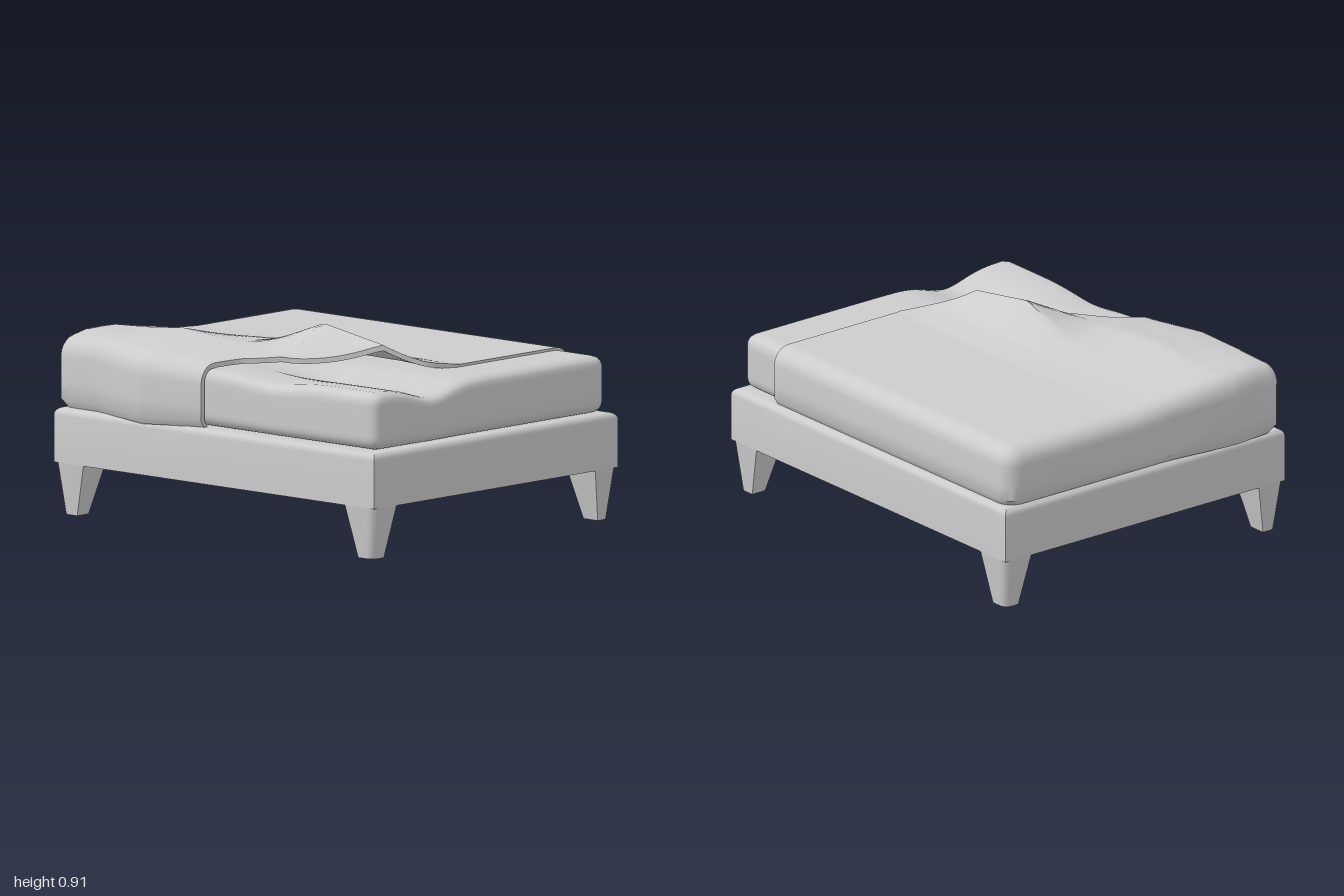
import * as THREE from 'three';
import { mergeVertices, toCreasedNormals } from 'three/addons/utils/BufferGeometryUtils.js';

const { clamp, lerp } = THREE.MathUtils;
const tent = (v, c, w) => Math.max(0, 1 - Math.abs(v - c) / w);
const bell = (v, c, w) => Math.exp(-(((v - c) / w) ** 2));

// piecewise linear lookup of values ys at positions xs
function lookup(xs, ys, v) {
  if (v <= xs[0]) return ys[0];
  for (let i = 1; i < xs.length; i++) {
    if (v <= xs[i]) return lerp(ys[i - 1], ys[i], (v - xs[i - 1]) / (xs[i] - xs[i - 1]));
  }
  return ys[ys.length - 1];
}

function indexed(points, index, crease) {
  const geo = new THREE.BufferGeometry();
  geo.setAttribute('position', new THREE.Float32BufferAttribute(points.flat(), 3));
  geo.setIndex(index);
  return toCreasedNormals(geo, crease);
}

// closed solid through horizontal rings, listed from bottom to top
function loft(rings) {
  const n = rings[0].length;
  const points = rings.flat();
  const index = [];
  for (let r = 0; r < rings.length - 1; r++) {
    for (let k = 0; k < n; k++) {
      const a = r * n + k, b = r * n + (k + 1) % n;
      index.push(a, a + n, b, b, a + n, b + n);
    }
  }
  const top = (rings.length - 1) * n;
  for (let k = 1; k < n - 1; k++) {
    index.push(0, k, k + 1, top, top + k + 1, top + k);
  }
  return indexed(points, index, 0.6);
}

// frame: square corners, rounded upper edge
const F = { x0: -0.955, x1: 1, z0: -0.825, z1: 0.785, y0: 0.235, y1: 0.485 };
function frameGeometry() {
  const ring = (d, y) => [
    [F.x0 + d, y, F.z0 + d], [F.x1 - d, y, F.z0 + d],
    [F.x1 - d, y, F.z1 - d], [F.x0 + d, y, F.z1 - d]];
  const rings = [ring(0, F.y0)];
  const r = 0.035;
  for (let i = 0; i <= 5; i++) {
    const a = i / 5 * Math.PI / 2;
    rings.push(ring(r * (1 - Math.cos(a)), F.y1 - r + r * Math.sin(a)));
  }
  return loft(rings);
}

// tapered leg with a rounded outer corner; sx, sz choose the corner
function legGeometry(sx, sz) {
  const cx = sx > 0 ? F.x1 : F.x0, cz = sz > 0 ? F.z1 : F.z0;
  const ring = (y, ox, ix, oz, iz, r) => {
    const p = [[ix, iz], [ox, iz]];
    for (let i = 0; i <= 4; i++) {
      const a = i / 4 * Math.PI / 2;
      p.push([ox + r * (1 - Math.cos(a)), oz + r * (1 - Math.sin(a))]);
    }
    p.push([ix, oz]);
    const out = p.map(([x, z]) => [cx - sx * x, y, cz - sz * z]);
    return sx * sz > 0 ? out : out.reverse();
  };
  return loft([ring(0, 0.033, 0.12, 0.025, 0.1, 0.035), ring(0.237, 0.001, 0.18, 0.001, 0.15, 0.04)]);
}

// mattress: rounded block with a hollow sat into its right side
function mattressGeometry() {
  const size = [1.905, 0.26, 1.525], r = 0.055;
  const box = new THREE.BoxGeometry(...size, 64, 16, 56);
  box.deleteAttribute('normal');
  box.deleteAttribute('uv');
  const geo = mergeVertices(box);
  const pos = geo.attributes.position;
  const half = new THREE.Vector3(...size).multiplyScalar(0.5).subScalar(r);
  const p = new THREE.Vector3(), core = new THREE.Vector3();
  for (let i = 0; i < pos.count; i++) {
    p.fromBufferAttribute(pos, i);
    core.copy(p).clamp(half.clone().negate(), half);
    p.sub(core).setLength(r).add(core);
    p.add(new THREE.Vector3(0.0175, 0.615, -0.0225));
    const w = clamp((p.y - 0.485) / 0.26, 0, 1);
    const hollow = 0.055 * bell(p.z, 0.36, 0.15) * clamp((p.x + 0.1) / 0.4, 0, 1);
    const sag = 0.025 * bell(p.x, 0.32, 0.18) * clamp((p.z - 0.5) / 0.2, 0, 1);
    pos.setXYZ(i, p.x, p.y - w * (hollow + sag), p.z);
  }
  geo.computeVertexNormals();
  return geo;
}

// blanket folds: heights above the flat cover at crossings of foldX and foldZ
const foldX = [-0.96, -0.7, -0.5, -0.13, 0.14, 0.5, 0.71];
const foldZ = [-0.1, 0.05, 0.19, 0.42, 0.6, 0.77];
const folds = [
  [0, 0, 0, 0, 0, 0, 0],
  [0.01, 0.01, 0.015, 0.02, 0.035, 0.03, 0.015],
  [0.03, 0.03, 0.04, 0.06, 0.16, 0.1, 0.04],
  [0.06, 0.075, 0.095, 0.065, 0.04, -0.1, -0.1],
  [0.065, 0.07, 0.07, 0.04, 0, 0, 0],
  [0.04, 0.05, 0.03, 0.005, 0, 0, 0]];
const foldHeight = (x, z) => lookup(foldZ, folds.map(row => lookup(foldX, row, x)), z);

// x of the turned-back edge for each z
const edgeX = z => lookup([-0.08, 0.05, 0.19, 0.32, 0.45, 0.58, 0.72],
  [0.71, 0.65, 0.5, 0.32, 0.13, -0.01, -0.07], z);

// blanket cross-section from back hem over the top to front hem, inset by d
function blanketProfile(d, r) {
  const y0 = 0.485, y1 = 0.757 - d, zb = -0.81 + d, zf = 0.77 - d, out = [];
  const arc = i => i / 6 * Math.PI / 2;
  out.push([zb + 0.02, y0], [zb, y0 + 0.03], [zb, 0.58]);
  for (let i = 0; i <= 6; i++) out.push([zb + r * (1 - Math.cos(arc(i))), y1 - r + r * Math.sin(arc(i))]);
  for (let i = 1; i < 48; i++) out.push([lerp(zb + r, zf - r, i / 48), y1]);
  for (let i = 6; i >= 0; i--) out.push([zf - r * (1 - Math.cos(arc(i))), y1 - r + r * Math.sin(arc(i))]);
  out.push([zf, 0.58], [zf, y0 + 0.03], [zf - 0.02, y0]);
  return out;
}

function drape(x, y, z) {
  const w = clamp((y - 0.485) / 0.26, 0, 1);
  const front = clamp((z - 0.55) / 0.2, 0, 1), side = clamp((-0.6 - x) / 0.3, 0, 1);
  const swell = tent(x, -0.4, 0.32);
  return [
    x - 0.038 * side * tent(z, 0.48, 0.34) + side * Math.max(0, 0.51 - y),
    y + w * foldHeight(x, z) - (1 - w) * 0.014 * front * swell,
    z + 0.05 * front * swell];
}

// one skin of the blanket, row by row from the closed side to the open edge
function blanketRows(th) {
  const xl = -0.962, r = 0.08 - th, rows = [];
  const addRow = (d, s, xAt) => rows.push(blanketProfile(th + d, r - d)
    .map(([z, y]) => drape(xAt(z), lerp(0.485, y, s), z * s)));
  for (let i = 0; i < 8; i++) addRow(r, i / 8, () => xl + th);
  for (let i = 0; i <= 6; i++) {
    const a = i / 6 * Math.PI / 2;
    addRow(r * (1 - Math.sin(a)), 1, () => xl + th + r * (1 - Math.cos(a)));
  }
  for (let i = 1; i <= 44; i++) addRow(0, 1, z => lerp(xl + th + r, edgeX(z), i / 44));
  return rows;
}

function blanketGeometry() {
  const outer = blanketRows(0), inner = blanketRows(0.022);
  const rows = outer.map((row, i) => [...row, ...inner[i].slice().reverse()]);
  const n = rows[0].length, m = n / 2, index = [];
  for (let i = 0; i < rows.length - 1; i++) {
    for (let j = 0; j < n; j++) {
      const a = i * n + j, b = i * n + (j + 1) % n;
      index.push(a, b, a + n, b, b + n, a + n);
    }
  }
  // hem along the open edge
  const last = (rows.length - 1) * n;
  for (let j = 0; j < m - 1; j++) {
    const a = last + j, b = a + 1, c = last + n - 1 - j, d = c - 1;
    index.push(a, b, c, b, d, c);
  }
  return indexed(rows.flat(), index, 0.8);
}

export function createModel() {
  const group = new THREE.Group();
  group.name = 'bed';
  const grey = new THREE.MeshStandardMaterial({ color: 0xcccccc, side: THREE.DoubleSide });
  grey.name = 'light grey';
  const add = (name, geo) => {
    const mesh = new THREE.Mesh(geo, grey);
    mesh.name = name;
    group.add(mesh);
  };
  add('frame', frameGeometry());
  for (const sx of [-1, 1]) {
    for (const sz of [-1, 1]) {
      add(`${sz > 0 ? 'front' : 'back'}${sx > 0 ? 'Left' : 'Right'}Leg`, legGeometry(sx, sz));
    }
  }
  add('mattress', mattressGeometry());
  add('blanket', blanketGeometry());
  return group;
}
